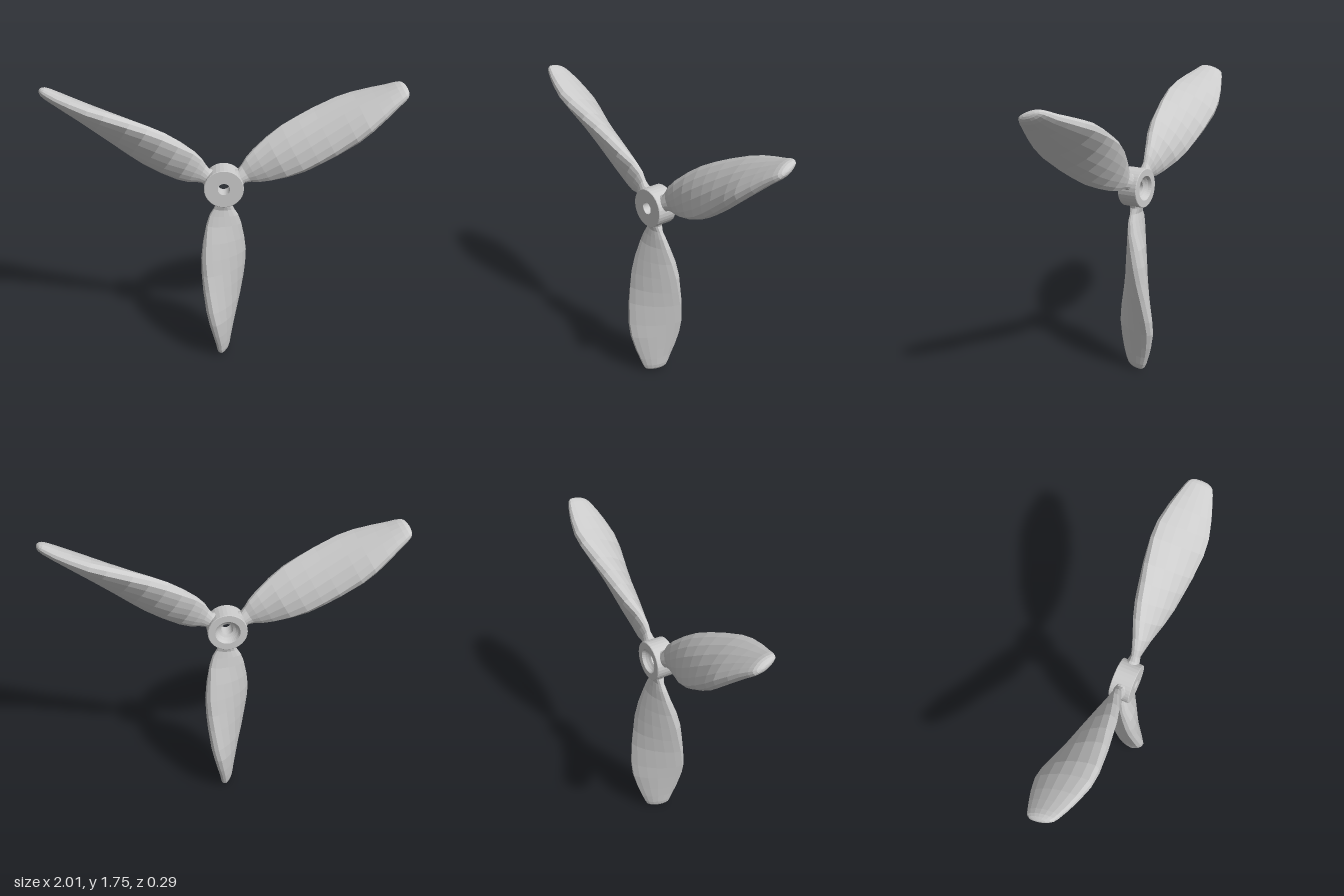
import * as THREE from 'three';

const HUB_Y = 1.153;

// Blade stations: radius from hub axis, half chord, half thickness, pitch in degrees
const STATIONS = [
  [0.085, 0.055, 0.042, 0],
  [0.118, 0.045, 0.035, 0],
  [0.150, 0.060, 0.026, 1],
  [0.190, 0.084, 0.033, 4],
  [0.250, 0.105, 0.042, 11],
  [0.350, 0.130, 0.057, 24],
  [0.450, 0.149, 0.063, 32],
  [0.550, 0.156, 0.064, 39],
  [0.650, 0.162, 0.063, 47],
  [0.790, 0.165, 0.060, 57],
  [0.880, 0.155, 0.055, 63],
  [0.980, 0.127, 0.046, 67],
  [1.050, 0.102, 0.039, 70],
  [1.105, 0.082, 0.033, 70],
  [1.130, 0.070, 0.027, 70],
  [1.143, 0.055, 0.019, 70],
  [1.150, 0.034, 0.010, 70],
];

// Unit cross-section: two bulged faces joined by broad blunt edges
function bladeSection() {
  const face = [[0.95, 0.42], [0.72, 0.7], [0.38, 0.92], [0, 1]];
  const upper = [...face, ...face.slice(0, 3).reverse().map(([u, v]) => [-u, v])];
  const lower = upper.map(([u, v]) => [-u, -v]);
  return [[1, 0], ...upper, [-1, 0], ...lower];
}

// Twisted blade lofted along -y, with one flat normal per quad
function bladeGeometry() {
  const section = bladeSection();
  const rings = STATIONS.map(([r, chord, thick, pitch]) => {
    const a = THREE.MathUtils.degToRad(pitch);
    return section.map(([u, v]) => new THREE.Vector3(
      u * chord * Math.cos(a) + v * thick * Math.sin(a),
      -r,
      -u * chord * Math.sin(a) + v * thick * Math.cos(a)));
  });
  // The tip closes to a point
  rings.push(section.map(() => new THREE.Vector3(0, -1.153, 0)));

  const positions = [];
  const normals = [];
  for (let s = 0; s < rings.length - 1; s++) {
    for (let i = 0; i < section.length; i++) {
      const j = (i + 1) % section.length;
      const [a, b, c, d] = [rings[s][i], rings[s][j], rings[s + 1][j], rings[s + 1][i]];
      const normal = c.clone().sub(a).cross(d.clone().sub(b)).normalize();
      for (const p of [a, b, c, a, c, d]) {
        positions.push(...p.toArray());
        normals.push(...normal.toArray());
      }
    }
  }
  const geometry = new THREE.BufferGeometry();
  geometry.setAttribute('position', new THREE.Float32BufferAttribute(positions, 3));
  geometry.setAttribute('normal', new THREE.Float32BufferAttribute(normals, 3));
  return geometry;
}

// Bored hub with a shallow dished recess at the back
function hubGeometry() {
  const profile = [
    [0.072, -0.06], [0.111, -0.06], [0.114, -0.057],
    [0.114, 0.057], [0.111, 0.06], [0.035, 0.06],
    [0.035, -0.022], [0.05, -0.03], [0.063, -0.042], [0.072, -0.06],
  ].map(([x, y]) => new THREE.Vector2(x, y));
  return new THREE.LatheGeometry(profile, 32).rotateX(Math.PI / 2);
}

export function createModel() {
  const model = new THREE.Group();
  model.name = 'propeller';

  const rotor = new THREE.Group();
  rotor.name = 'rotor';
  rotor.position.y = HUB_Y;
  model.add(rotor);

  const hub = new THREE.Mesh(
    hubGeometry(),
    new THREE.MeshStandardMaterial({ color: 0xcccccc, flatShading: true }));
  hub.name = 'hub';
  rotor.add(hub);

  // Three identical blades around the hub
  const geometry = bladeGeometry();
  const material = new THREE.MeshStandardMaterial({ color: 0xcccccc });
  ['lowerBlade', 'upperLeftBlade', 'upperRightBlade'].forEach((name, i) => {
    const blade = new THREE.Mesh(geometry, material);
    blade.name = name;
    blade.rotation.z = i * Math.PI * 2 / 3;
    rotor.add(blade);
  });

  return model;
}
